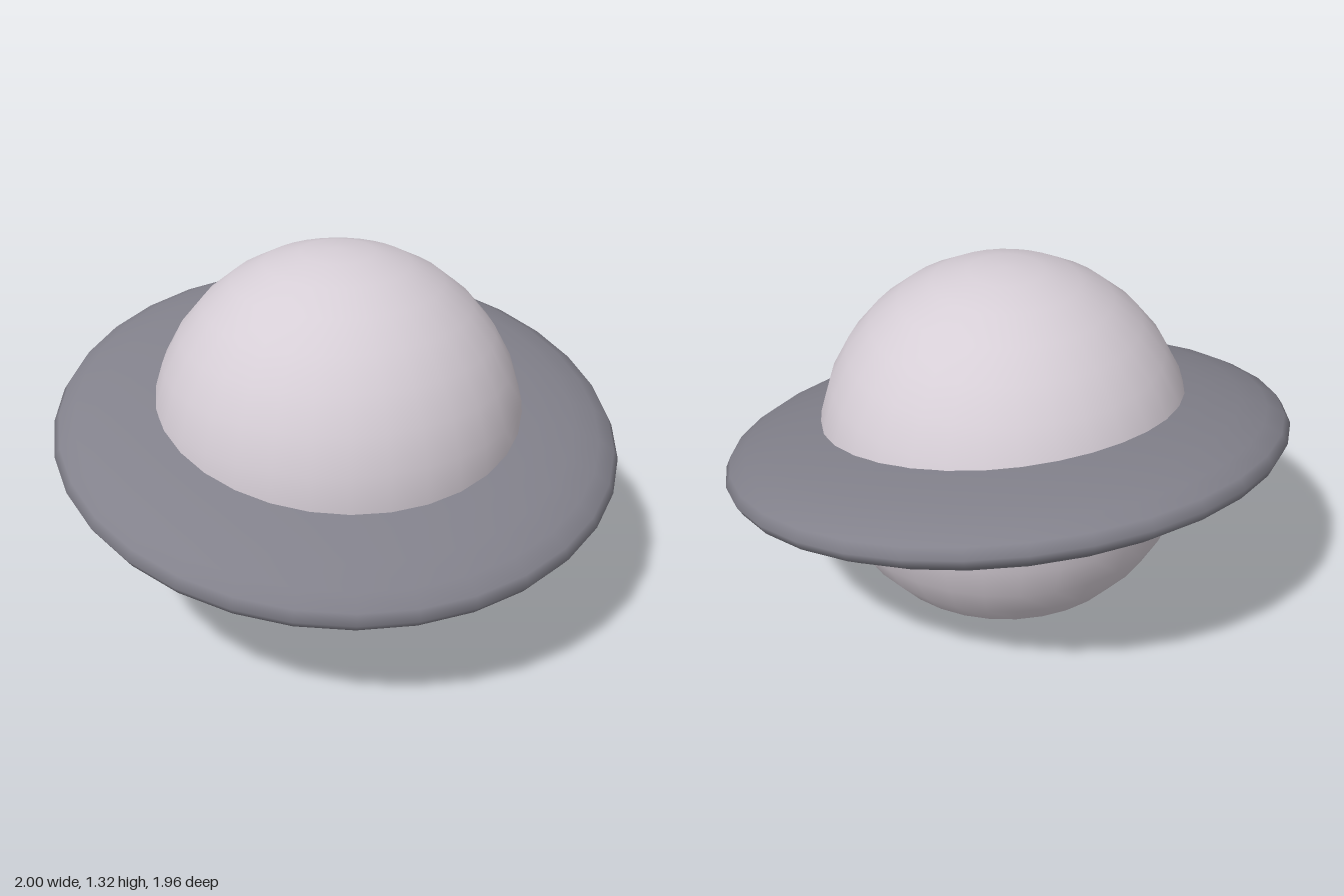
import * as THREE from 'three';

const RADIUS = 0.66; // planet radius, also the height of its centre

export function createModel() {
  const planetColour = new THREE.MeshStandardMaterial({ color: 0xd6ced6 });
  planetColour.name = 'pale planet';
  const ringColour = new THREE.MeshStandardMaterial({ color: 0x82818b });
  ringColour.name = 'slate ring';

  const model = new THREE.Group();
  model.name = 'ringedPlanet';

  // Round body resting on the ground
  const planet = new THREE.Mesh(new THREE.SphereGeometry(RADIUS, 32, 16), planetColour);
  planet.name = 'planet';
  planet.position.y = RADIUS;

  // Ring: a flattened ball around the middle, tipped down at the front
  const ring = new THREE.Mesh(new THREE.SphereGeometry(1, 32, 16).scale(1, 0.18, 1), ringColour);
  ring.name = 'ring';
  ring.position.y = RADIUS;
  ring.rotation.x = THREE.MathUtils.degToRad(12);

  model.add(planet, ring);
  return model;
}
